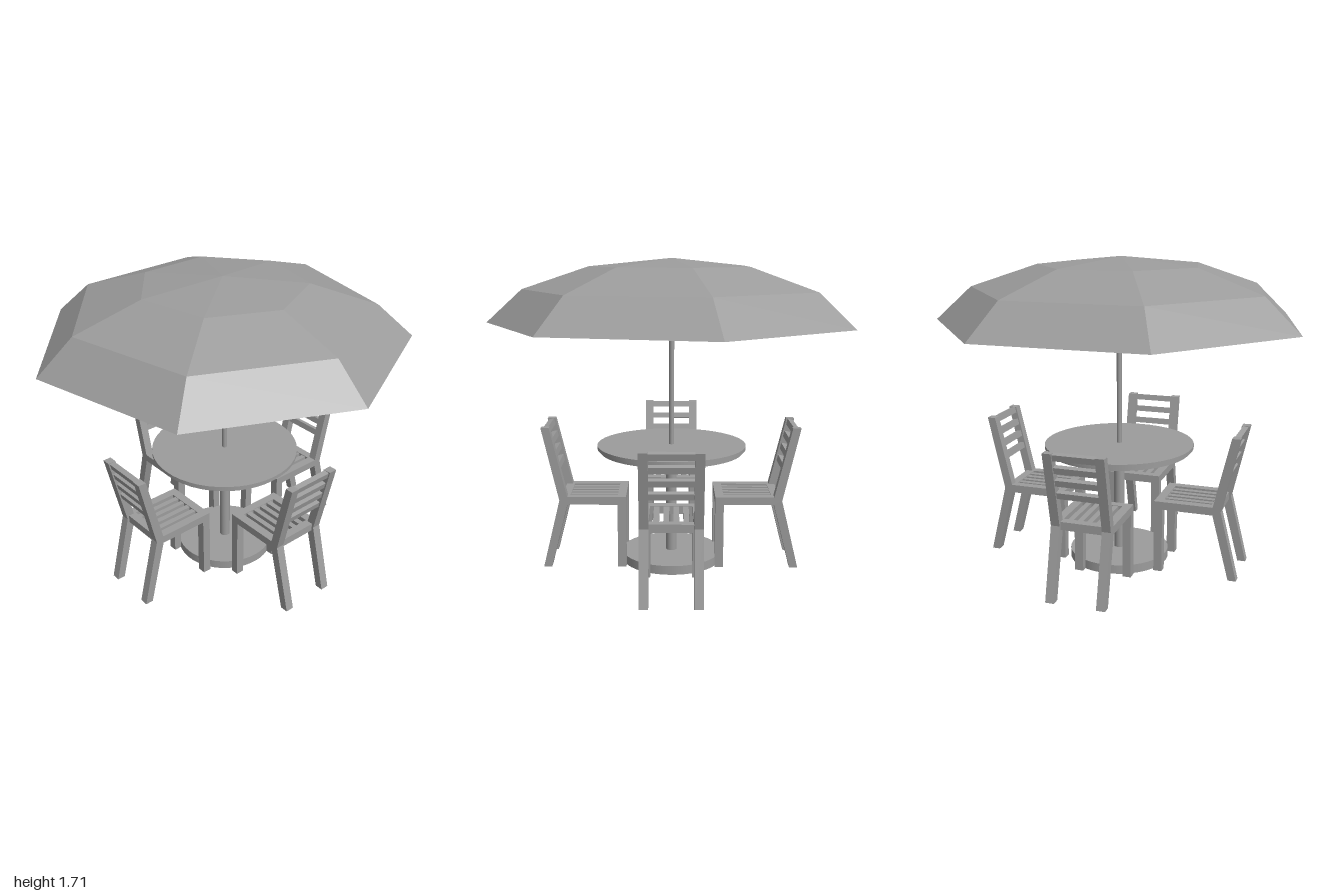
import * as THREE from 'three';

const gray = new THREE.MeshStandardMaterial({ color: 0x9c9c9c, side: THREE.DoubleSide });
gray.name = 'warm gray';

function add(parent, name, geometry, x = 0, y = 0, z = 0) {
  const mesh = new THREE.Mesh(geometry, gray);
  mesh.name = name;
  mesh.position.set(x, y, z);
  parent.add(mesh);
  return mesh;
}

// Upright cylinder between two heights
function disc(parent, name, radius, y0, y1, sides = 48) {
  add(parent, name, new THREE.CylinderGeometry(radius, radius, y1 - y0, sides), 0, (y0 + y1) / 2, 0);
}

// Chair with its front edge at x = 0 and its back towards +x
function makeChair() {
  const chair = new THREE.Group();
  const half = 0.162, bar = 0.048, inner = 2 * (half - bar);

  // Side frame: front leg, seat rail, splayed back leg and back post in one outline
  const outline = [
    [0, 0], [0.047, 0], [0.047, 0.362], [0.325, 0.362], [0.418, 0], [0.463, 0],
    [0.369, 0.385], [0.463, 0.795], [0.418, 0.795], [0.325, 0.406], [0, 0.406],
  ].map(([x, y]) => new THREE.Vector2(x, y));
  const side = new THREE.ExtrudeGeometry(new THREE.Shape(outline), { depth: bar, bevelEnabled: false });
  add(chair, 'leftSideFrame', side, 0, 0, -half);
  add(chair, 'rightSideFrame', side, 0, 0, half - bar);

  // Seat cross rails and lengthwise slats
  const rail = new THREE.BoxGeometry(0.047, 0.044, inner);
  add(chair, 'frontSeatRail', rail, 0.0235, 0.384, 0);
  add(chair, 'backSeatRail', rail, 0.335, 0.384, 0);
  const seatSlat = new THREE.BoxGeometry(0.27, 0.03, 0.03);
  for (let i = 0; i < 4; i++) add(chair, 'seatSlat', seatSlat, 0.18, 0.388, (i - 1.5) * 0.0515);

  // Back slats, leaning with the posts
  const backSlat = new THREE.BoxGeometry(0.03, 0.034, inner);
  for (let i = 0; i < 4; i++) {
    const y = 0.563 + i * 0.0708;
    add(chair, 'backSlat', backSlat, 0.347 + 0.234 * (y - 0.395), y, 0).rotation.z = -0.23;
  }
  return chair;
}

export function createModel() {
  const model = new THREE.Group();
  model.name = 'patioSet';

  // Table with its central post and the parasol pole
  const table = new THREE.Group();
  table.name = 'table';
  table.position.set(-0.054, 0, -0.011);
  disc(table, 'base', 0.28, 0, 0.05);
  disc(table, 'post', 0.03, 0.05, 0.635, 24);
  disc(table, 'tableApron', 0.4, 0.633, 0.652);
  disc(table, 'tableTop', 0.418, 0.652, 0.672);
  disc(table, 'parasolPole', 0.014, 0.67, 1.7, 16);
  model.add(table);

  // Seven-sided faceted canopy
  const profile = [[1.025, 1.355], [0.825, 1.537], [0.455, 1.661], [0.0001, 1.706]]
    .map(([r, y]) => new THREE.Vector2(r, y));
  const canopy = new THREE.LatheGeometry(profile, 7, Math.PI / 2).toNonIndexed();
  canopy.computeVertexNormals();
  add(model, 'canopy', canopy, -0.055, 0, 0);

  // Four chairs around the table
  [
    ['leftChair', 0.198, -0.011, 0],
    ['backChair', -0.053, -0.283, Math.PI / 2],
    ['rightChair', -0.297, -0.011, Math.PI],
    ['frontChair', -0.053, 0.241, -Math.PI / 2],
  ].forEach(([name, x, z, turn]) => {
    const chair = makeChair();
    chair.name = name;
    chair.position.set(x, 0, z);
    chair.rotation.y = turn;
    model.add(chair);
  });

  return model;
}
